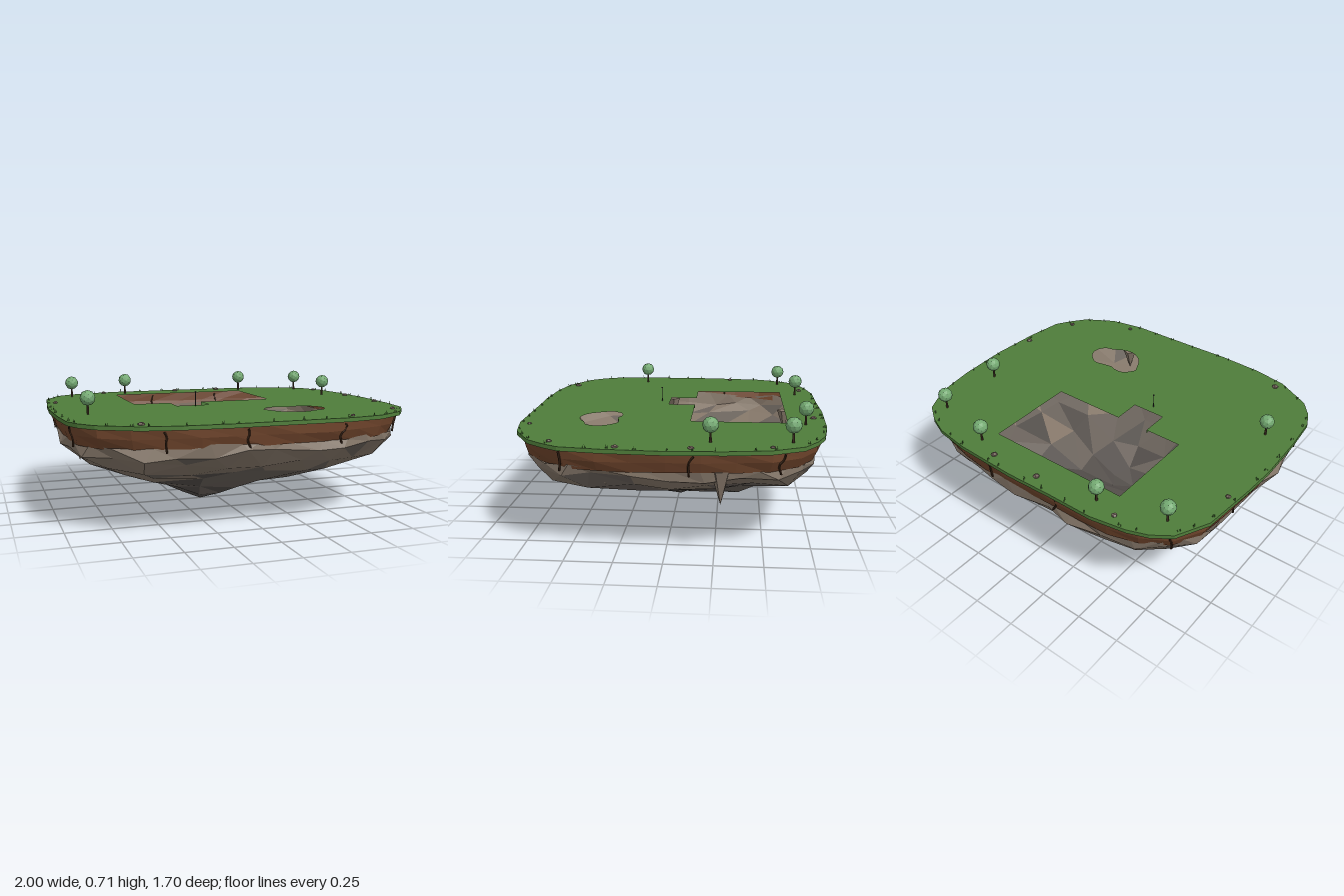
import * as THREE from 'three';

const mat = (name, color, side = THREE.FrontSide) =>
  Object.assign(new THREE.MeshStandardMaterial({ color, flatShading: true, side }), { name });

// small seeded random source, returns -1..1
function makeRandom(seed) {
  let s = seed;
  return () => {
    s = (s * 16807) % 2147483647;
    return (s / 2147483647) * 2 - 1;
  };
}

// island edge as x, z pairs, clockwise seen from above
const EDGE = [
  [-1, 0], [-0.99, -0.2], [-0.96, -0.52], [-0.87, -0.7], [-0.77, -0.77], [-0.66, -0.81],
  [-0.46, -0.845], [-0.2, -0.845], [0.08, -0.853], [0.45, -0.84], [0.65, -0.81], [0.77, -0.76],
  [0.87, -0.69], [0.95, -0.53], [0.985, -0.3], [1, 0], [0.985, 0.3], [0.955, 0.52],
  [0.9, 0.61], [0.83, 0.7], [0.66, 0.8], [0.46, 0.838], [0, 0.845], [-0.2, 0.85],
  [-0.46, 0.837], [-0.66, 0.8], [-0.86, 0.69], [-0.93, 0.6], [-0.97, 0.51], [-0.99, 0.3],
];
const edgeCurve = new THREE.CatmullRomCurve3(EDGE.map(([x, z]) => new THREE.Vector3(x, 0, z)), true);
const edgeAt = (u) => edgeCurve.getPointAt(((u % 1) + 1) % 1);

// joins two closed rings of different point counts with triangles
function stitch(a, b, emit) {
  let i = 0, j = 0;
  const n = a.length, m = b.length;
  while (i < n || (m > 1 && j < m)) {
    const p = a[i % n], q = b[j % m];
    if (m === 1 || j >= m || (i < n && (i + 1) / n <= (j + 1) / m)) {
      emit(p, a[(i + 1) % n], q);
      i++;
    } else {
      emit(p, b[(j + 1) % m], q);
      j++;
    }
  }
}

// lofts rings, sorting each face into a mesh by colour
function loft(name, rings, pick) {
  const group = new THREE.Group();
  group.name = name;
  const faces = new Map();
  for (let r = 0; r < rings.length - 1; r++) {
    stitch(rings[r], rings[r + 1], (...tri) => {
      const m = pick(r);
      if (!faces.has(m)) faces.set(m, []);
      faces.get(m).push(...tri);
    });
  }
  for (const [m, points] of faces) {
    const g = new THREE.BufferGeometry().setFromPoints(points);
    g.computeVertexNormals();
    const mesh = new THREE.Mesh(g, m);
    mesh.name = name + 'Faces';
    group.add(mesh);
  }
  return group;
}

export function createModel() {
  const model = new THREE.Group();
  model.name = 'floatingIsland';
  const rnd = makeRandom(4711);
  const M = {
    grass: mat('grass green', 0x4f7d3a),
    dirt: mat('dirt brown', 0x70452c, THREE.DoubleSide),
    rock: mat('warm rock', 0x857769, THREE.DoubleSide),
    grey: mat('grey rock', 0x6a625b, THREE.DoubleSide),
    dark: mat('dark rock', 0x544f4b, THREE.DoubleSide),
    root: mat('root brown', 0x3a2517),
    trunk: mat('trunk brown', 0x4a3828),
    leaf: mat('leaf green', 0x74aa72),
    pebble: mat('pebble', 0x75665d),
    post: mat('post grey', 0x3a3a3a),
  };
  const add = (name, geometry, material, x = 0, y = 0, z = 0, parent = model) => {
    const mesh = new THREE.Mesh(geometry, material);
    mesh.name = name;
    mesh.position.set(x, y, z);
    parent.add(mesh);
    return mesh;
  };
  const TOP = 0.58;

  // grass plate with the foundation and pond openings
  const to2 = (pts) => pts.map(([x, z]) => new THREE.Vector2(x, -z));
  const plate = new THREE.Shape(to2(EDGE));
  const foundation = [[-0.49, -0.635], [0.37, -0.635], [0.37, -0.1], [-0.07, -0.1],
    [-0.07, 0.06], [-0.27, 0.06], [-0.27, -0.1], [-0.49, -0.1]];
  const pond = [[0.155, 0.37], [0.2, 0.31], [0.26, 0.3], [0.31, 0.315], [0.37, 0.305], [0.43, 0.3],
    [0.49, 0.35], [0.51, 0.41], [0.48, 0.47], [0.42, 0.49], [0.37, 0.52], [0.29, 0.53], [0.21, 0.48]];
  const pondCurve = new THREE.SplineCurve(to2([...pond, pond[0]]));
  plate.holes.push(new THREE.Path(to2(foundation)), new THREE.Path(pondCurve.getPoints(36).slice(0, -1)));
  const plateGeo = new THREE.ExtrudeGeometry(plate, { depth: 0.022, bevelEnabled: false });
  plateGeo.rotateX(-Math.PI / 2);
  add('grassPlate', plateGeo, M.grass, 0, TOP - 0.022, 0);

  // ring of n points: edge outline scaled by s, drifting towards the tip
  const ring = (n, s, y, jr, jy) => Array.from({ length: n }, (_, i) => {
    const p = edgeAt((i + rnd() * (jr > 0.01 ? 0.22 : 0)) / n);
    const k = s + rnd() * jr;
    return new THREE.Vector3(p.x * k - 0.11 * (1 - s), y + rnd() * jy, p.z * k);
  });

  // dirt band
  model.add(loft('dirtBand', [
    ring(36, 0.975, 0.56, 0, 0), ring(36, 0.967, 0.51, 0.006, 0.004), ring(36, 0.945, 0.455, 0.006, 0.004),
  ], () => M.dirt));

  // hollow rock underside, darker towards the tip
  const rockRings = [
    ring(40, 0.945, 0.475, 0.012, 0.018), ring(34, 0.945, 0.415, 0.025, 0.022),
    ring(28, 0.87, 0.345, 0.03, 0.025), ring(22, 0.68, 0.265, 0.04, 0.022),
    ring(16, 0.49, 0.19, 0.035, 0.02), ring(10, 0.29, 0.115, 0.03, 0.012),
    ring(6, 0.13, 0.05, 0.015, 0.008), [new THREE.Vector3(-0.11, 0, 0)],
  ];
  model.add(loft('rockUnderside', rockRings, (r) => {
    const v = r + rnd() * 1.4;
    return v < 2 ? M.rock : v < 4 ? M.grey : M.dark;
  }));

  // hanging rock spikes: x, z, radius, length
  for (const [x, z, r, len] of [[0.89, -0.28, 0.055, 0.18], [-0.85, 0.1, 0.05, 0.16],
    [0.45, 0.71, 0.045, 0.13], [-0.5, -0.67, 0.045, 0.13], [0.86, 0.3, 0.035, 0.1]]) {
    const spike = new THREE.ConeGeometry(r, len, 5);
    spike.rotateX(Math.PI);
    add('rockSpike', spike, M.rock, x, 0.46 - len / 2, z).rotation.y = x * 9;
  }

  // roots creeping down the dirt band
  for (let i = 0; i < 11; i++) {
    const u = i / 11 + 0.03 + rnd() * 0.015;
    const pts = [0.55, 0.52, 0.49, 0.44].map((y, k) => {
      const p = edgeAt(u + rnd() * 0.0025);
      const s = 0.974 - k * 0.007;
      return new THREE.Vector3(p.x * s, y, p.z * s);
    });
    add('root', new THREE.TubeGeometry(new THREE.CatmullRomCurve3(pts), 6, 0.006, 5), M.root);
  }

  // round trees
  const trunkGeo = new THREE.CylinderGeometry(0.005, 0.007, 0.07, 6);
  const crownGeo = new THREE.IcosahedronGeometry(0.042, 1);
  for (const [x, z] of [[-0.785, -0.635], [-0.415, -0.73], [0.405, -0.73], [0.795, -0.635],
    [0.815, -0.225], [-0.825, 0.275]]) {
    const tree = new THREE.Group();
    tree.name = 'tree';
    tree.position.set(x, TOP, z);
    add('treeTrunk', trunkGeo, M.trunk, 0, 0.033, 0, tree);
    add('treeCrown', crownGeo, M.leaf, 0, 0.09, 0, tree);
    model.add(tree);
  }

  // thin post with a small knob
  add('post', new THREE.CylinderGeometry(0.002, 0.002, 0.085, 6), M.post, -0.17, TOP + 0.042, 0.11);
  add('postKnob', new THREE.SphereGeometry(0.005, 8, 6), M.post, -0.17, TOP + 0.084, 0.11);

  // pebbles near the edge
  for (const [x, z] of [[-0.555, -0.765], [-0.05, -0.78], [0.255, -0.785], [0.9, -0.53], [-0.93, -0.305],
    [0.94, -0.135], [0.945, 0.235], [0.86, 0.58], [0.5, 0.775], [-0.64, 0.74]]) {
    const pebble = add('pebble', new THREE.DodecahedronGeometry(0.016 + rnd() * 0.004, 0), M.pebble, x, TOP + 0.003, z);
    pebble.scale.y = 0.65;
    pebble.rotation.y = rnd() * 3;
  }

  // grass tufts along the rim
  const bladeGeo = new THREE.ConeGeometry(0.003, 0.022, 3);
  for (let i = 0; i < 44; i++) {
    const p = edgeAt(i / 44 + rnd() * 0.008).multiplyScalar(0.982);
    for (let k = 0; k < 3; k++) {
      const blade = add('grassBlade', bladeGeo, M.grass, p.x + rnd() * 0.008, TOP + 0.007, p.z + rnd() * 0.008);
      blade.rotation.set(rnd() * 0.3, rnd() * 3, rnd() * 0.3);
    }
  }
  return model;
}
